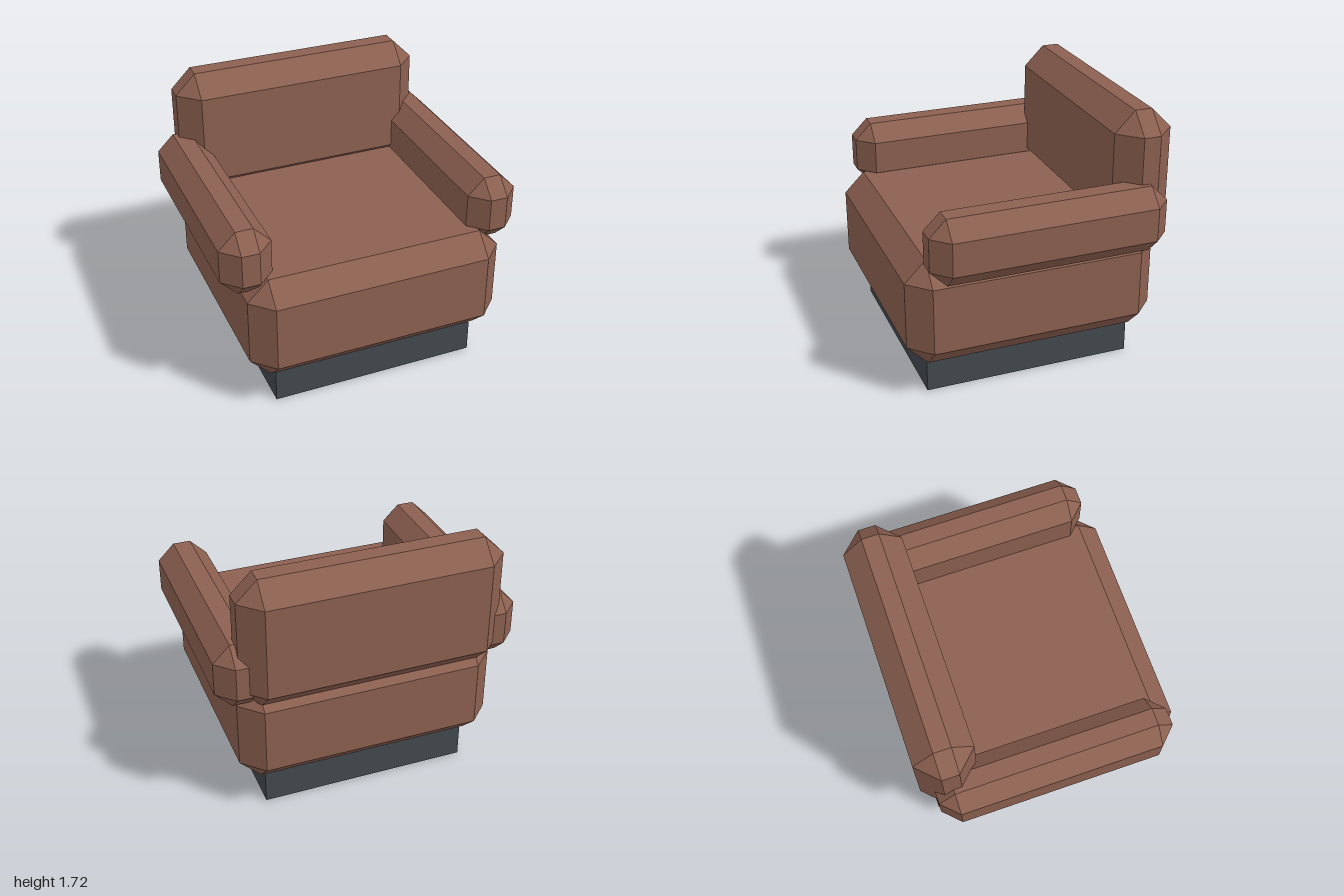
import * as THREE from 'three';
import { ConvexGeometry } from 'three/addons/geometries/ConvexGeometry.js';

// Box between two corners with every edge cut by a flat bevel
function bevelBox([x0, y0, z0], [x1, y1, z1], bevel) {
  const centre = new THREE.Vector3((x0 + x1) / 2, (y0 + y1) / 2, (z0 + z1) / 2);
  const half = new THREE.Vector3((x1 - x0) / 2, (y1 - y0) / 2, (z1 - z0) / 2);
  const points = [];
  for (const sx of [-1, 1]) for (const sy of [-1, 1]) for (const sz of [-1, 1]) {
    for (const axis of ['x', 'y', 'z']) {
      // Only one axis reaches the full size at each corner point
      const p = half.clone().subScalar(bevel);
      p[axis] += bevel;
      points.push(p.multiply(new THREE.Vector3(sx, sy, sz)).add(centre));
    }
  }
  return new ConvexGeometry(points);
}

export function createModel() {
  const leather = new THREE.MeshStandardMaterial({ color: 0x8c6050 });
  leather.name = 'brown leather';
  const plinth = new THREE.MeshStandardMaterial({ color: 0x42484e });
  plinth.name = 'dark grey plinth';

  const model = new THREE.Group();
  model.name = 'armchair';
  const add = (name, geometry, material) => {
    const mesh = new THREE.Mesh(geometry, material);
    mesh.name = name;
    model.add(mesh);
    return mesh;
  };

  // Plain block under the seat
  add('base', new THREE.BoxGeometry(1.386, 0.225, 1.39), plinth).position.set(0, 0.1125, 0.044);

  // Cushions
  add('seat', bevelBox([-0.86, 0.224, -0.79], [0.86, 0.946, 0.875], 0.138), leather);
  add('backrest', bevelBox([-0.86, 0.838, -0.875], [0.86, 1.722, -0.49], 0.136), leather);

  // Armrests, mirrored
  add('leftArmrest', bevelBox([0.665, 0.838, -0.79], [1, 1.279, 0.766], 0.11), leather);
  add('rightArmrest', bevelBox([-1, 0.838, -0.79], [-0.665, 1.279, 0.766], 0.11), leather);

  return model;
}
